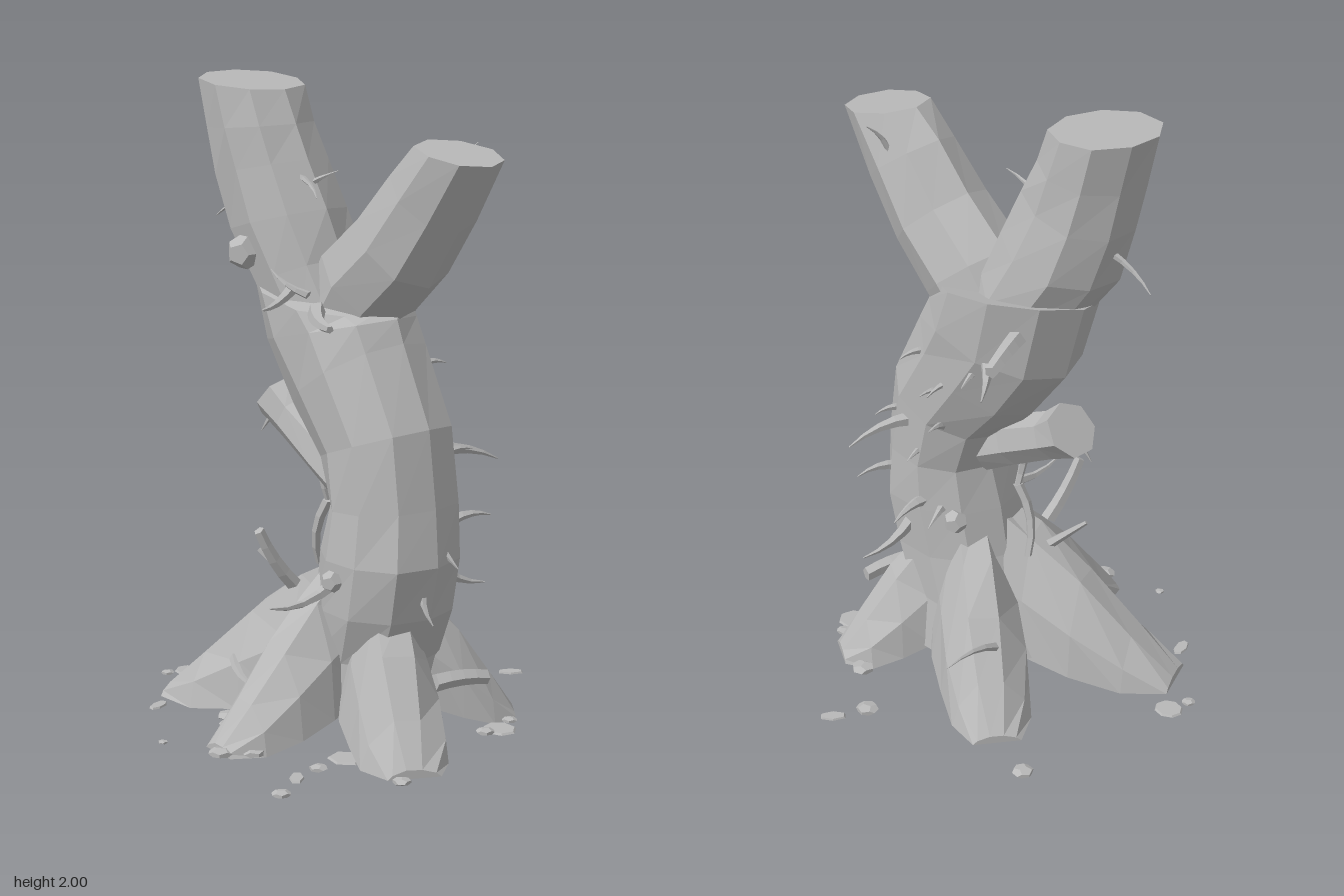
import * as THREE from 'three';

const bark = new THREE.MeshStandardMaterial({ color: 0xb8b8b8 });
bark.name = 'grey bark';

let seed = 7;
const rnd = () => (seed = (seed * 16807) % 2147483647) / 2147483647;
const V = (x, y, z) => new THREE.Vector3(x, y, z);

function add(group, name, geometry) {
  const g = geometry.index ? geometry.toNonIndexed() : geometry;
  g.computeVertexNormals(); // faceted look
  const mesh = new THREE.Mesh(g, bark);
  mesh.name = name;
  group.add(mesh);
}

// Skin a row of closed loops and cap both ends
function loft(rings) {
  const n = rings[0].length, pos = [];
  const tri = (...pts) => pts.forEach(p => pos.push(p.x, p.y, p.z));
  for (let j = 0; j < rings.length - 1; j++) {
    for (let i = 0; i < n; i++) {
      const k = (i + 1) % n, lo = rings[j], hi = rings[j + 1];
      tri(lo[i], hi[i], lo[k]);
      tri(lo[k], hi[i], hi[k]);
    }
  }
  const mid = r => r.reduce((s, p) => s.add(p), V(0, 0, 0)).divideScalar(n);
  const first = rings[0], last = rings[rings.length - 1];
  const a = mid(first), b = mid(last);
  for (let i = 0; i < n; i++) {
    const k = (i + 1) % n;
    tri(a, first[i], first[k]);
    tri(b, last[k], last[i]);
  }
  const g = new THREE.BufferGeometry();
  g.setAttribute('position', new THREE.Float32BufferAttribute(pos, 3));
  return g;
}

// Limb from rows of [x, y, z, half width, half depth, tilt, rise towards the back]
function limb(rows, sides, rough) {
  const ridge = Array.from({ length: sides }, () => 1 + (rnd() - 0.5) * rough);
  return loft(rows.map(([x, y, z, rx, rz, tilt, rise = 0]) => ridge.map((m, i) => {
    const t = (i / sides) * Math.PI * 2, k = m * (1 + (rnd() - 0.5) * rough);
    const u = Math.cos(t) * rx * k;
    return V(x + u * Math.cos(tilt), y + u * Math.sin(tilt) - Math.sin(t) * rise, z + Math.sin(t) * rz * k);
  })));
}

// Root that flares from the trunk down to the ground, slightly hollow below
function root(from, to, w, h) {
  const a = V(from[0], 0, from[1]), b = V(to[0], 0, to[1]);
  const d = b.clone().sub(a).normalize(), side = V(-d.z, 0, d.x);
  // share of length, top height, underside height, width
  const steps = [[0, 1.25, 0.12, 0.9], [0.3, 0.97, 0.07, 1.05], [0.55, 0.68, 0.03, 1.08], [0.8, 0.34, 0, 0.95], [1, 0.06, 0, 0.55]];
  const outline = [[1, 0], [0.85, 0.5], [0.32, 1], [-0.3, 0.97], [-0.85, 0.5], [-1, 0]];
  return loft(steps.map(([t, top, low, ww]) => outline.map(([s, y]) => {
    const k = 1 + (rnd() - 0.5) * 0.14;
    return a.clone().lerp(b, t).addScaledVector(side, s * w * ww * k).setY(low + y * (top * h * (0.5 + k / 2) - low));
  })));
}

// Bent spike or blunt stub between two points
function twig(a, b, r, tip, bend) {
  const d = b.clone().sub(a), len = d.length();
  const g = new THREE.CylinderGeometry(r * tip, r, len, 5, 4).translate(0, len / 2, 0);
  const p = g.attributes.position;
  for (let i = 0; i < p.count; i++) {
    const t = p.getY(i) / len;
    p.setZ(i, p.getZ(i) + bend * len * 4 * t * (1 - t));
  }
  g.applyQuaternion(new THREE.Quaternion().setFromUnitVectors(V(0, 1, 0), d.normalize()));
  return g.translate(a.x, a.y, a.z);
}

export function createModel() {
  const model = new THREE.Group();
  model.name = 'deadTree';

  // Main trunk and limbs
  add(model, 'trunk', limb([
    [0.08, 0.07, 0, 0.25, 0.23, 0], [0.13, 0.24, 0, 0.21, 0.2, 0], [0.19, 0.4, 0.01, 0.225, 0.21, 0],
    [0.225, 0.57, 0.01, 0.225, 0.22, 0.02], [0.23, 0.73, 0, 0.2, 0.205, 0.1],
    [0.19, 0.92, 0, 0.22, 0.2, 0.35], [0.06, 1.11, 0, 0.25, 0.205, 0.55],
    [-0.03, 1.24, 0, 0.28, 0.21, 0.25], [-0.09, 1.385, 0, 0.285, 0.21, -0.17, 0.05]], 10, 0.05));
  add(model, 'rightLimb', limb([
    [-0.06, 1.22, 0, 0.17, 0.17, 0.4], [-0.15, 1.4, 0.02, 0.17, 0.18, 0.4],
    [-0.235, 1.56, 0.05, 0.2, 0.18, 0.28], [-0.29, 1.72, 0.07, 0.188, 0.17, 0.22],
    [-0.33, 1.85, 0.08, 0.175, 0.165, 0.1], [-0.37, 1.985, 0.085, 0.172, 0.165, -0.09]], 9, 0.05));
  add(model, 'leftLimb', limb([
    [-0.03, 1.24, -0.01, 0.15, 0.14, -0.6], [0.09, 1.4, -0.015, 0.17, 0.155, -0.7],
    [0.24, 1.53, -0.02, 0.165, 0.15, -0.75], [0.36, 1.69, -0.03, 0.15, 0.135, -0.65],
    [0.475, 1.835, -0.035, 0.14, 0.125, -0.18]], 8, 0.05));
  add(model, 'brokenBranch', limb([
    [0.12, 0.75, 0.02, 0.1, 0.1, 1.1], [-0.05, 0.835, 0.03, 0.085, 0.085, 1.12],
    [-0.22, 0.925, 0.03, 0.078, 0.08, 1.1], [-0.305, 0.98, 0.03, 0.092, 0.09, 0.9]], 7, 0.06));

  // Spreading roots: start and end as [x, z], half width, height
  const roots = new THREE.Group();
  roots.name = 'roots';
  model.add(roots);
  [[[0.13, 0.02], [-0.5, 0.325], 0.15, 0.48], [[0.09, 0.07], [0.065, 0.56], 0.12, 0.44],
    [[0.17, 0.01], [0.6, 0.23], 0.145, 0.45], [[0.16, -0.03], [0.345, -0.39], 0.12, 0.43],
    [[0.11, -0.03], [-0.36, -0.33], 0.14, 0.44]]
    .forEach(r => add(roots, 'root', root(...r)));

  // Thorns and broken twigs: start, end, radius, tip ratio, bend
  const twigs = new THREE.Group();
  twigs.name = 'twigs';
  model.add(twigs);
  const addTwig = ([a, b, r, tip, bend]) => add(twigs, 'twig', twig(V(...a), V(...b), r, tip, bend));
  [[[-0.12, 1.68, 0.05], [0.02, 1.74, 0.05], 0.013, 0.1, 0.1],
    [[-0.13, 1.72, 0.1], [0.0, 1.66, 0.12], 0.012, 0.1, -0.1],
    [[0.08, 1.58, -0.04], [0.25, 1.76, -0.06], 0.012, 0.1, 0.15],
    [[-0.42, 1.62, 0.06], [-0.57, 1.53, 0.08], 0.012, 0.1, 0.1],
    [[0.39, 0.52, 0.02], [0.46, 0.4, 0.04], 0.018, 0.1, 0.1],
    [[0.4, 0.62, -0.04], [0.46, 0.56, -0.06], 0.015, 0.1, 0],
    [[-0.1, 0.83, 0.03], [-0.07, 0.68, 0.02], 0.016, 0.7, 0.1],
    [[-0.07, 0.68, 0.02], [-0.14, 0.45, 0], 0.018, 0.7, 0.1],
    [[-0.3, 0.93, 0.06], [-0.34, 0.86, 0.08], 0.012, 0.1, 0]].forEach(addTwig);
  [[[-0.02, 0.45, 0.2], [-0.04, 0.64, 0.32], 0.025, 0.7, 0.05],
    [[0.18, 0.5, 0.2], [0.21, 0.48, 0.47], 0.022, 0.1, 0.1],
    [[-0.1, 0.42, 0.13], [-0.2, 0.52, 0.2], 0.018, 0.4, 0],
    [[-0.2, 0.18, 0.3], [-0.02, 0.13, 0.34], 0.018, 0.2, 0.1],
    [[0.06, 1.33, 0.17], [0.2, 1.3, 0.23], 0.03, 0.4, 0.1],
    [[-0.05, 1.38, 0.18], [0.0, 1.34, 0.33], 0.02, 0.2, 0.1],
    [[0.02, 1.37, 0.17], [-0.1, 1.44, 0.22], 0.014, 0.1, 0.1]].forEach(addTwig);
  [[[0.22, 0.87, -0.17], [0.28, 0.82, -0.38], 0.025, 0.1, 0.08],
    [[-0.25, 1.34, -0.15], [-0.31, 1.31, -0.31], 0.03, 0.7, 0.05],
    [[0.3, 0.66, -0.17], [0.33, 0.66, -0.31], 0.02, 0.1, 0.1],
    [[0.16, 0.6, -0.18], [0.15, 0.57, -0.31], 0.022, 0.1, 0.1],
    [[0.22, 0.5, -0.18], [0.25, 0.41, -0.36], 0.025, 0.1, -0.1],
    [[0.34, 1.72, -0.13], [0.36, 1.84, -0.21], 0.014, 0.1, 0.1],
    [[-0.15, 1.22, -0.18], [-0.2, 1.14, -0.25], 0.022, 0.1, 0.1],
    [[-0.23, 0.25, -0.22], [-0.25, 0.28, -0.44], 0.015, 0.1, 0.1],
    [[0.4, 0.19, -0.02], [0.44, 0.18, -0.2], 0.03, 0.8, 0.05]].forEach(addTwig);

  // Small thorns over the back of the trunk
  for (let i = 0; i < 8; i++) {
    const y = 0.48 + rnd() * 0.85, cx = y < 0.85 ? 0.22 : 0.22 - (y - 0.85) * 0.65;
    const x = cx + (rnd() - 0.5) * 0.28;
    addTwig([[x, y, -0.16], [x + (rnd() - 0.5) * 0.08, y + 0.03 - rnd() * 0.06, -0.25], 0.015, 0.1, 0.1]);
  }

  // Knots
  [[-0.25, 1.47, 0.21, 0.055], [0.2, 0.515, 0.225, 0.035], [0.05, 0.55, -0.14, 0.04]]
    .forEach(([x, y, z, r]) => add(model, 'knot', new THREE.DodecahedronGeometry(r).translate(x, y, z)));

  // Pebbles and chips lying on the ground: x, z, radius
  const debris = new THREE.Group();
  debris.name = 'groundDebris';
  model.add(debris);
  const pebbles = [[0.04, -0.53, 0.037], [-0.53, -0.375, 0.035], [0.22, -0.4, 0.04], [0.43, -0.31, 0.025],
    [-0.62, 0.265, 0.022], [0.61, 0.29, 0.03], [0.37, 0.415, 0.03], [0.46, 0.625, 0.03], [-0.11, 0.645, 0.016],
    [0.15, 0.49, 0.04], [0.09, 0.57, 0.04], [-0.15, 0.36, 0.04], [0.46, -0.18, 0.03]];
  pebbles.forEach(([x, z, r]) => add(debris, 'pebble',
    new THREE.DodecahedronGeometry(r).rotateY(x * 9).scale(1, 0.35, 1).translate(x, r * 0.33, z)));
  const chips = [[0.09, -0.63, 0.045, 0.9], [0.46, -0.24, 0.058, 0], [-0.6, 0.195, 0.048, 0.2], [0.38, 0.505, 0.045, -0.7],
    [-0.39, 0.465, 0.042, -1.2], [-0.1, 0.375, 0.055, 0], [0.35, 0.29, 0.06, 0.3]];
  chips.forEach(([x, z, r, turn], i) => add(debris, 'chip',
    new THREE.CylinderGeometry(r * 0.9, r, 0.006, 6 + (i % 3)).scale(1, 1, Math.abs(turn) > 0.5 ? 0.5 : 0.9)
      .rotateY(turn).translate(x, 0.004, z)));

  return model;
}
